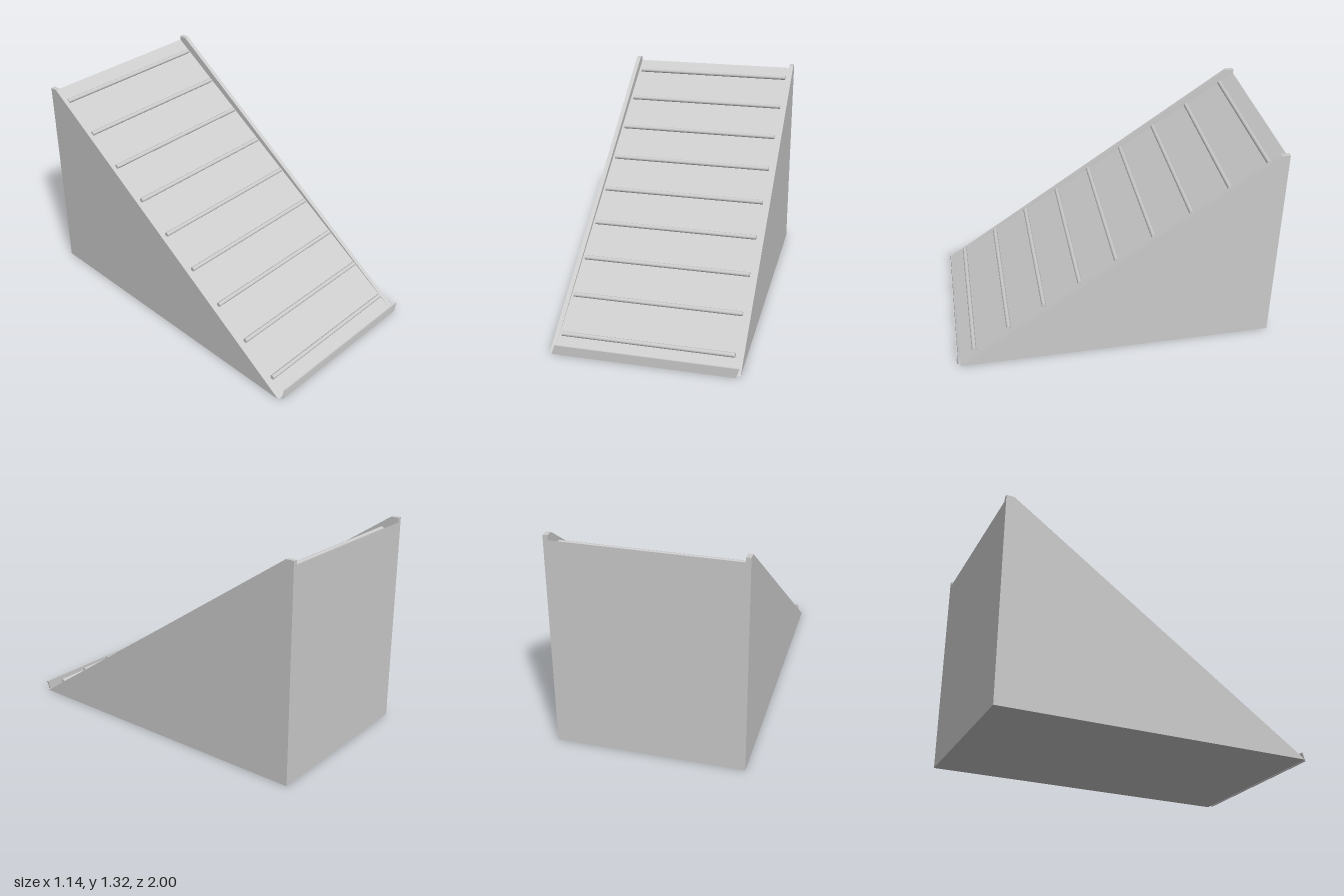
import * as THREE from 'three';

const material = new THREE.MeshStandardMaterial({ color: 0xcccccc, flatShading: true });
const smooth = new THREE.MeshStandardMaterial({ color: 0xcccccc });

// Extrudes a side profile of [z, y] points across x from x0 to x1.
function sidePanel(name, points, x0, x1) {
  const shape = new THREE.Shape(points.map(([z, y]) => new THREE.Vector2(-z, y)));
  const geometry = new THREE.ExtrudeGeometry(shape, { depth: x1 - x0, bevelEnabled: false });
  geometry.rotateY(Math.PI / 2).translate(x0, 0, 0);
  const mesh = new THREE.Mesh(geometry, material);
  mesh.name = name;
  return mesh;
}

export function createModel() {
  const model = new THREE.Group();
  model.name = 'cleatedRamp';

  // Solid wedge under the walking surface
  model.add(sidePanel('rampBody', [[0.98, 0], [-1, 0], [-1, 1.29]], -0.54, 0.54));

  // Side walls, slightly steeper than the ramp so they rise into low curbs
  const wall = [[0.98, 0], [-1, 0], [-1, 1.318], [-0.95, 1.318]];
  model.add(sidePanel('leftWall', wall, 0.54, 0.568));
  model.add(sidePanel('rightWall', wall, -0.568, -0.54));

  // Round cleats spaced evenly up the slope
  const cleatGeometry = new THREE.CylinderGeometry(0.014, 0.014, 1.04, 12).rotateZ(Math.PI / 2);
  for (let i = 0; i < 9; i++) {
    const cleat = new THREE.Mesh(cleatGeometry, smooth);
    cleat.name = `cleat${i + 1}`;
    cleat.position.set(0, 0.077 + i * 0.1454, 0.887 - i * 0.2238);
    model.add(cleat);
  }

  // Thin skewed kick plate at the foot
  const plateShape = new THREE.Shape([
    new THREE.Vector2(-0.549, 0), new THREE.Vector2(0.545, 0),
    new THREE.Vector2(0.564, 0.06), new THREE.Vector2(-0.53, 0.06),
  ]);
  const plateGeometry = new THREE.ExtrudeGeometry(plateShape, { depth: 0.008, bevelEnabled: false });
  const plate = new THREE.Mesh(plateGeometry, material);
  plate.name = 'kickPlate';
  plate.position.z = 0.992;
  model.add(plate);

  return model;
}
